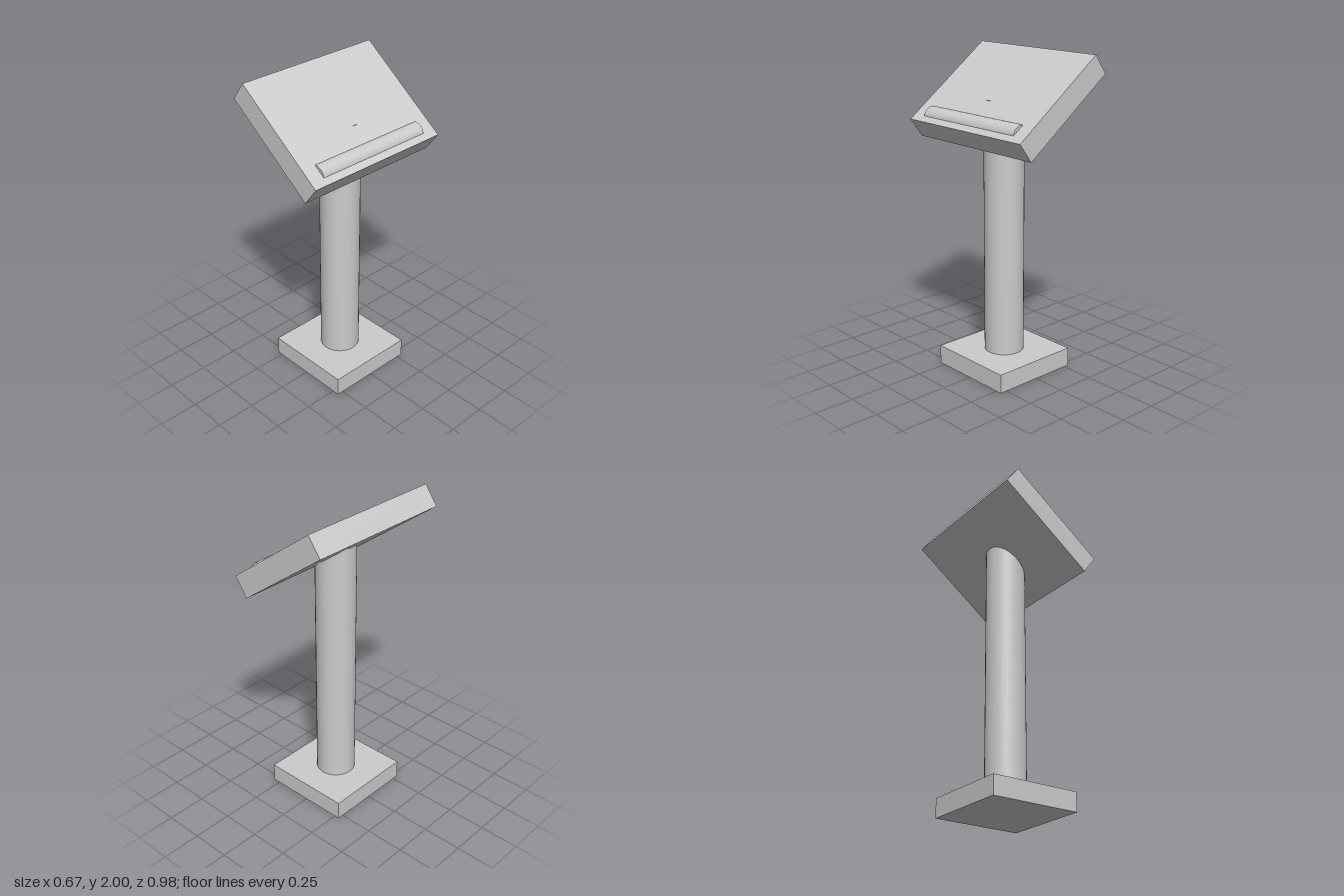
import * as THREE from 'three';

export function createModel() {
  const model = new THREE.Group();
  model.name = 'lectern';
  const material = new THREE.MeshStandardMaterial({ color: 0xcccccc });

  const add = (parent, name, geometry, x, y, z) => {
    const mesh = new THREE.Mesh(geometry, material);
    mesh.name = name;
    mesh.position.set(x, y, z);
    parent.add(mesh);
    return mesh;
  };

  const axisX = 0.007;     // column and base sit slightly off the desk centre
  const baseHeight = 0.12;
  const columnTop = 1.722; // ends inside the desk

  // Square foot and round column
  add(model, 'base', new THREE.BoxGeometry(0.578, baseHeight, 0.578), axisX, baseHeight / 2, 0);
  add(model, 'column', new THREE.CylinderGeometry(0.124, 0.124, columnTop - baseHeight, 32),
    axisX, (columnTop + baseHeight) / 2, 0);

  // Sloping desk, falling towards +x
  const desk = new THREE.Group();
  desk.name = 'desk';
  desk.position.set(0, 1.7275, 0);
  desk.rotation.z = -Math.atan2(0.43, 0.585);
  model.add(desk);
  add(desk, 'deskTop', new THREE.BoxGeometry(0.726, 0.143, 0.978), 0, 0, 0);

  // Rounded book stop, a bar partly sunk into the desk
  const bar = add(desk, 'bookStop', new THREE.CylinderGeometry(0.06, 0.06, 0.793, 32), 0.274, 0.031, -0.001);
  bar.rotation.x = Math.PI / 2;

  return model;
}
